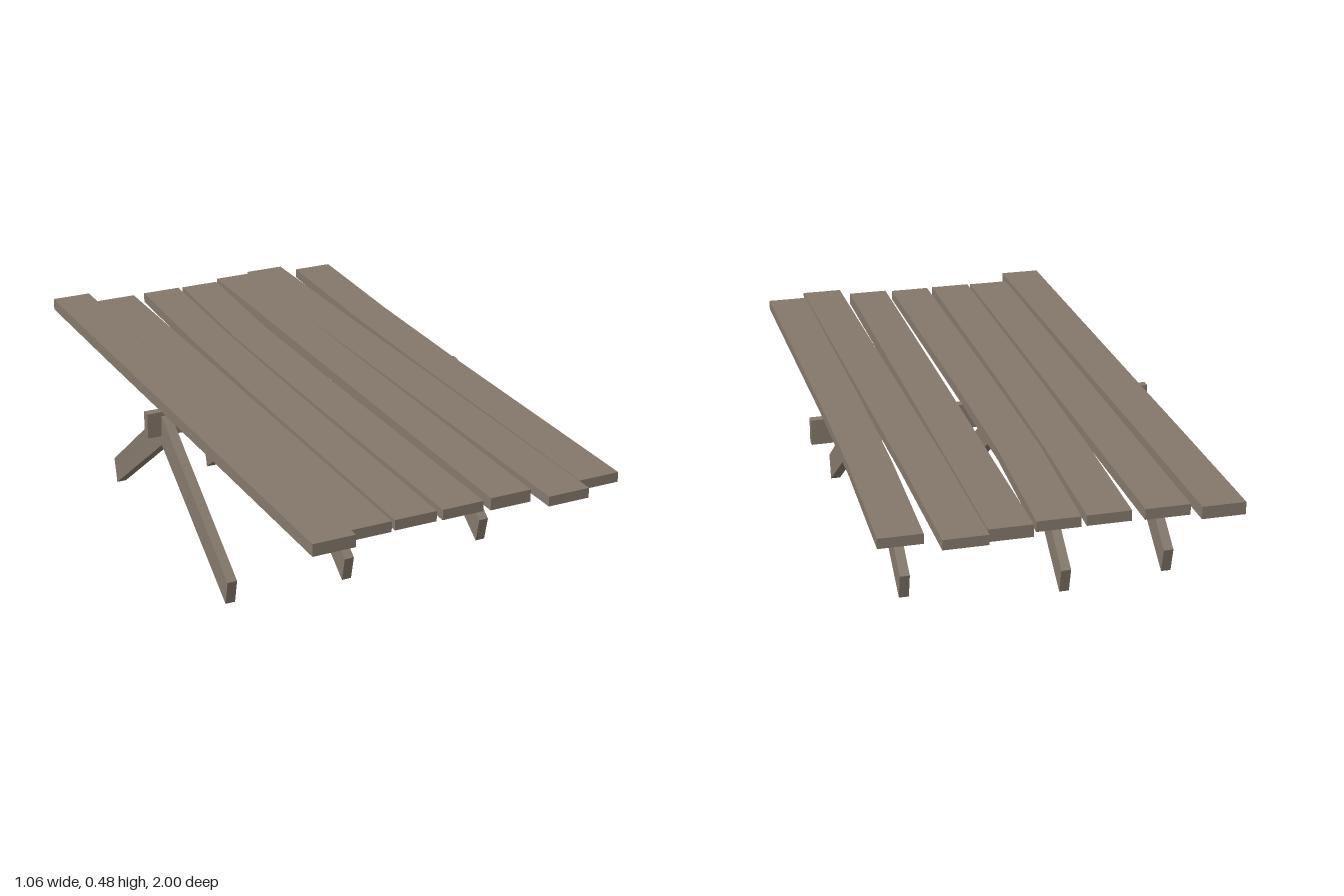
import * as THREE from 'three';

const wood = new THREE.MeshStandardMaterial({ color: 0x84786b, flatShading: true });
wood.name = 'weatheredWood';

// Box whose vertices are moved by a rule taking unit coordinates (-0.5 to 0.5)
function shapedBox(name, depthSegments, rule) {
  const geometry = new THREE.BoxGeometry(1, 1, 1, 1, 1, depthSegments);
  const p = geometry.attributes.position;
  for (let i = 0; i < p.count; i++) p.setXYZ(i, ...rule(p.getX(i), p.getY(i), p.getZ(i)));
  geometry.computeVertexNormals();
  const mesh = new THREE.Mesh(geometry, wood);
  mesh.name = name;
  return mesh;
}

// Plank running along z, its centre line bent through x at back, middle and front
function plank({ x, z, y, w }) {
  const curve = [0, 0.25, 0.5, 1];
  return shapedBox('plank', 8, (u, v, t) => {
    const s = t + 0.5;
    let k = 0;
    while (k < 2 && s > curve[k + 1]) k++;
    const f = (s - curve[k]) / (curve[k + 1] - curve[k]);
    return [
      THREE.MathUtils.lerp(x[k], x[k + 1], f) + u * w,
      v < 0 ? y[0] : y[1],
      THREE.MathUtils.lerp(z[0], z[1], s),
    ];
  });
}

// Slanting leg; dir is +1 for the front row and -1 for the back row
function leg({ dir, top, foot, y, reach }) {
  return shapedBox(dir > 0 ? 'frontLeg' : 'backLeg', 1, (u, v, t) => {
    const outer = t * dir > 0, upper = v > 0;
    const root = dir > 0 ? (upper ? -0.025 : -0.035) : (upper ? -0.05 : -0.036);
    return [
      (outer ? foot : top) + u * 0.03,
      outer ? (upper ? y + 0.078 : y) : (upper ? 0.44 : 0.345),
      outer ? dir * (upper ? reach : reach - 0.018) : root,
    ];
  });
}

export function createModel() {
  const model = new THREE.Group();
  model.name = 'plankTable';

  // Table top
  const tableTop = new THREE.Group();
  tableTop.name = 'tableTop';
  [
    { x: [-0.43, -0.426, -0.42, -0.41], z: [-1, 0.99], y: [0.446, 0.483], w: 0.126 },
    { x: [-0.288, -0.286, -0.284, -0.28], z: [-0.95, 0.94], y: [0.438, 0.47], w: 0.13 },
    { x: [-0.122, -0.137, -0.142, -0.142], z: [-0.95, 0.94], y: [0.44, 0.471], w: 0.127 },
    { x: [0.02, -0.002, -0.003, 0.003], z: [-0.95, 0.94], y: [0.439, 0.47], w: 0.126 },
    { x: [0.158, 0.156, 0.154, 0.152], z: [-0.97, 0.94], y: [0.436, 0.473], w: 0.126 },
    { x: [0.287, 0.287, 0.293, 0.304], z: [-0.995, 0.995], y: [0.44, 0.47], w: 0.128 },
    { x: [0.452, 0.435, 0.43, 0.433], z: [-0.945, 0.945], y: [0.44, 0.47], w: 0.126 },
  ].forEach((spec) => tableTop.add(plank(spec)));
  model.add(tableTop);

  // Cross beam, dropping slightly towards +x
  model.add(shapedBox('crossBeam', 1, (u, v, t) =>
    [u * 1.064, 0.406 + v * 0.079 - u * 0.008, -0.048 + t * 0.027]));

  // Three legs each way
  const legs = new THREE.Group();
  legs.name = 'legs';
  [
    { dir: 1, top: -0.475, foot: -0.468, y: 0.022, reach: 0.443 },
    { dir: 1, top: -0.091, foot: -0.09, y: 0.012, reach: 0.443 },
    { dir: 1, top: 0.374, foot: 0.381, y: 0.028, reach: 0.42 },
    { dir: -1, top: -0.465, foot: -0.463, y: 0.018, reach: 0.5 },
    { dir: -1, top: -0.138, foot: -0.138, y: 0, reach: 0.517 },
    { dir: -1, top: 0.344, foot: 0.344, y: 0.03, reach: 0.49 },
  ].forEach((spec) => legs.add(leg(spec)));
  model.add(legs);

  return model;
}
